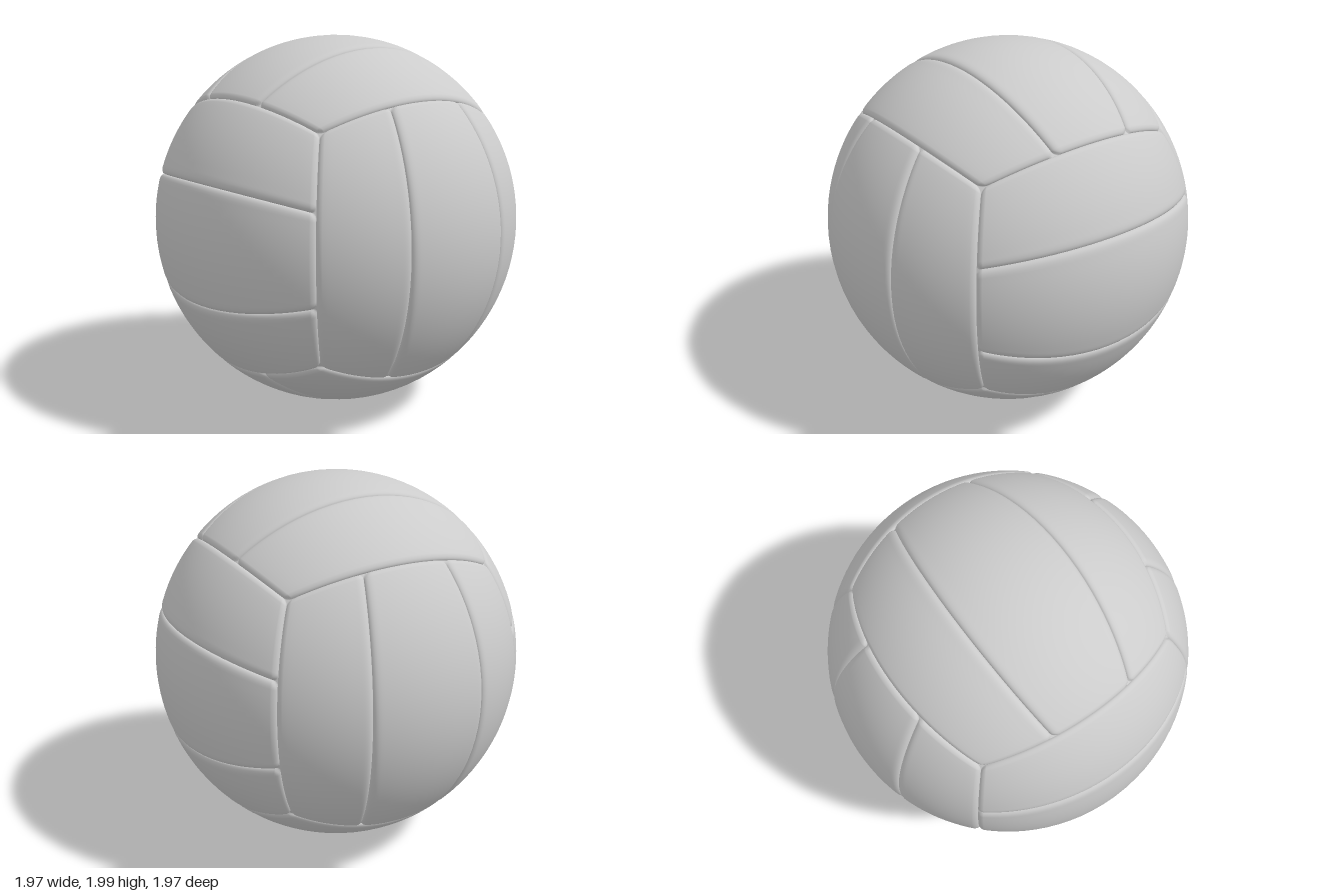
import * as THREE from 'three';

const SIZE = new THREE.Vector3(0.985, 0.997, 0.985); // half extents of the ball
const BEVEL = 0.036; // width of the rounded panel border
const DEPTH = 0.02;  // depth of the seams

// Grid positions from lo to hi, packed closely near both ends for the rounded border
function samples(lo, hi, count) {
  const rim = [0, 0.04, 0.14, 0.3, 0.5, 0.75, 1].map(f => f * BEVEL * 1.7);
  const a = lo + rim[6], b = hi - rim[6];
  const list = rim.map(r => lo + r);
  for (let i = 1; i < count; i++) list.push(a + (b - a) * i / count);
  return list.concat(rim.map(r => hi - r).reverse());
}

// One strip of a cube face, pushed out to the ball and sunk along its border
function panelGeometry(normal, along, across, lo, hi) {
  const us = samples(-1, 1, 26), vs = samples(lo, hi, 12);
  const positions = [], index = [];
  const p = new THREE.Vector3();
  vs.forEach((v, j) => us.forEach((u, i) => {
    p.copy(normal).addScaledVector(along, u).addScaledVector(across, v);
    const len = p.length();
    const edgeU = (1 - Math.abs(u)) / Math.SQRT2 / len;
    const edgeV = Math.min((v - lo) / Math.hypot(1, lo), (hi - v) / Math.hypot(1, hi)) / len;
    const ku = Math.max(0, 1 - edgeU / BEVEL), kv = Math.max(0, 1 - edgeV / BEVEL);
    const k = Math.min(1, Math.hypot(ku, kv));
    const sink = DEPTH * (1 - Math.sqrt(1 - k * k));
    p.multiplyScalar((1 - sink) / len).multiply(SIZE);
    positions.push(p.x, p.y, p.z);
    if (i && j) {
      const d = j * us.length + i, c = d - 1, b = d - us.length, a = b - 1;
      index.push(a, b, d, a, d, c);
    }
  }));
  const geometry = new THREE.BufferGeometry();
  geometry.setAttribute('position', new THREE.Float32BufferAttribute(positions, 3));
  geometry.setIndex(index);
  geometry.computeVertexNormals();
  return geometry;
}

export function createModel() {
  const ball = new THREE.Group();
  ball.name = 'ball';
  const material = new THREE.MeshStandardMaterial({ color: 0xcccccc, roughness: 0.6 });
  const X = new THREE.Vector3(1, 0, 0), Y = new THREE.Vector3(0, 1, 0), Z = new THREE.Vector3(0, 0, 1);

  // Normal, strip direction and split direction of each pair of opposite faces
  const faces = [
    ['front', 'back', Z, X, Y],
    ['left', 'right', X, Y, Z],
    ['top', 'bottom', Y, Z, X],
  ];
  for (const [nameA, nameB, normal, along, across] of faces) {
    for (const [name, sign] of [[nameA, 1], [nameB, -1]]) {
      const face = new THREE.Group();
      face.name = name + 'Panels';
      // Three parallel strips per face
      for (let i = 0; i < 3; i++) {
        const lo = -1 + i * 2 / 3;
        const geometry = panelGeometry(
          normal.clone().multiplyScalar(sign), along.clone().multiplyScalar(sign), across, lo, lo + 2 / 3);
        const panel = new THREE.Mesh(geometry, material);
        panel.name = name + 'Panel' + (i + 1);
        face.add(panel);
      }
      ball.add(face);
    }
  }
  ball.position.y = 1;

  const model = new THREE.Group();
  model.name = 'volleyball';
  model.add(ball);
  return model;
}
